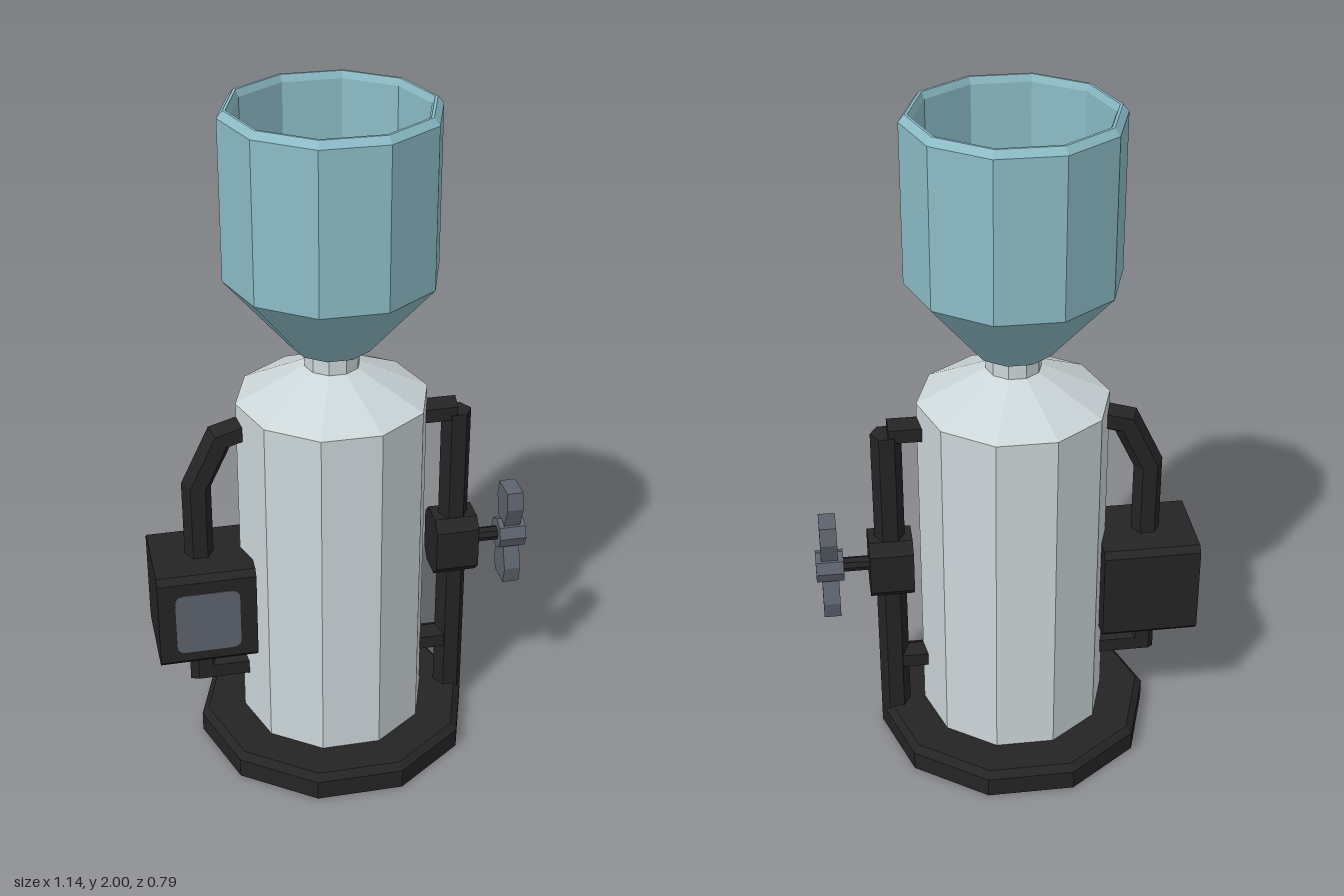
import * as THREE from 'three';

const flat = (color, name, side = THREE.FrontSide) => {
  const m = new THREE.MeshStandardMaterial({ color, flatShading: true, side });
  m.name = name;
  return m;
};

export function createModel() {
  const group = new THREE.Group();
  const black = flat(0x242424, 'black');
  const steel = flat(0xccd6d9, 'pale steel');
  const teal = flat(0x8cbcc6, 'teal');
  const slate = flat(0x5e646e, 'slate grey');
  const AXIS = -0.025;

  const add = (name, geometry, material, x = 0, y = 0, z = 0) => {
    const mesh = new THREE.Mesh(geometry, material);
    mesh.name = name;
    mesh.position.set(x, y, z);
    group.add(mesh);
    return mesh;
  };

  // Ten-sided turned parts, corners on the x axis
  const turned = (name, profile, material) => add(name, new THREE.LatheGeometry(
    profile.map(([r, y]) => new THREE.Vector2(r, y)), 10, Math.PI / 2), material, AXIS);

  turned('base', [[0, 0], [0.415, 0], [0.415, 0.06], [0.395, 0.08], [0, 0.08]], black);
  turned('body', [[0.28, 0.08], [0.28, 1.14], [0.08, 1.24]], steel);
  turned('neck', [[0.08, 1.235], [0.08, 1.3], [0.097, 1.305], [0.057, 1.33], [0, 1.33]], steel);
  turned('hopper', [[0.09, 1.3], [0.115, 1.3], [0.305, 1.52], [0.305, 1.98], [0.288, 2],
    [0.28, 2], [0.272, 1.98], [0.272, 1.53], [0.093, 1.315], [0.09, 1.3]], teal);

  // Hexagonal bar swept along a path in the xy plane, with mitred bends
  const hexBar = (name, path, r, turn = 0) => {
    const pts = path.map(([x, y]) => new THREE.Vector2(x, y));
    const pos = [], index = [];
    pts.forEach((p, i) => {
      const before = p.clone().sub(pts[Math.max(i - 1, 0)]).normalize();
      const after = pts[Math.min(i + 1, pts.length - 1)].clone().sub(p).normalize();
      const t = before.clone().add(after).normalize();
      const cos = t.dot(i ? before : after);
      for (let k = 0; k < 6; k++) {
        const a = k * Math.PI / 3 + turn, u = r * Math.cos(a) / cos;
        pos.push(p.x + t.y * u, p.y - t.x * u, r * Math.sin(a));
        if (i) {
          const n = (k + 1) % 6, lo = (i - 1) * 6, hi = i * 6;
          index.push(lo + k, hi + k, lo + n, lo + n, hi + k, hi + n);
        }
      }
    });
    const end = (pts.length - 1) * 6;
    for (let k = 1; k < 5; k++) {
      index.push(0, k, k + 1, end, end + k + 1, end + k);
    }
    const g = new THREE.BufferGeometry();
    g.setAttribute('position', new THREE.Float32BufferAttribute(pos, 3));
    g.setIndex(index);
    g.computeVertexNormals();
    return add(name, g, hexMaterial);
  };
  const hexMaterial = flat(0x242424, 'black bar', THREE.DoubleSide);
  hexMaterial.name = 'black';

  hexBar('handle', [[-0.27, 1.065], [-0.355, 1.04], [-0.427, 0.89], [-0.427, 0.245], [-0.27, 0.245]], 0.043);
  hexBar('rail', [[0.345, 0.06], [0.345, 1.05]], 0.045);
  for (const y of [0.25, 1.055]) {
    hexBar('railBracket', [[0.22, y], [0.34, y]], 0.042);
  }

  // Block running along x with chamfered long edges
  const block = (name, x0, x1, y, h, d, c, material) => {
    const a = d / 2, b = h / 2;
    const shape = new THREE.Shape([[-a + c, -b], [a - c, -b], [a, -b + c], [a, b - c],
      [a - c, b], [-a + c, b], [-a, b - c], [-a, -b + c]].map(p => new THREE.Vector2(...p)));
    const g = new THREE.ExtrudeGeometry(shape, { depth: x1 - x0, bevelEnabled: false });
    g.rotateY(Math.PI / 2);
    return add(name, g, material, x0, y, 0);
  };

  block('controlBox', -0.57, -0.28, 0.508, 0.305, 0.28, 0.018, black);
  block('clamp', 0.28, 0.41, 0.605, 0.19, 0.144, 0.032, black);

  // Screen: thin plate with rounded corners
  const w = 0.095, h = 0.1, r = 0.025;
  const screen = new THREE.Shape();
  screen.moveTo(-w + r, -h);
  screen.lineTo(w - r, -h).quadraticCurveTo(w, -h, w, -h + r);
  screen.lineTo(w, h - r).quadraticCurveTo(w, h, w - r, h);
  screen.lineTo(-w + r, h).quadraticCurveTo(-w, h, -w, h - r);
  screen.lineTo(-w, -h + r).quadraticCurveTo(-w, -h, -w + r, -h);
  add('screen', new THREE.ExtrudeGeometry(screen, { depth: 0.004, bevelEnabled: false, curveSegments: 3 }),
    slate, -0.425, 0.505, 0.139);

  // Wing screw on the clamp
  const rod = (name, radius, x0, x1, sides, material) => {
    const g = new THREE.CylinderGeometry(radius, radius, x1 - x0, sides);
    g.rotateZ(Math.PI / 2);
    return add(name, g, material, (x0 + x1) / 2, 0.605, 0);
  };
  rod('screwShaft', 0.022, 0.4, 0.5, 8, black);
  rod('screwHub', 0.048, 0.486, 0.568, 8, slate);
  const wing = new THREE.Shape([[-0.026, 0.03], [0.026, 0.03], [0.053, 0.105], [0.042, 0.158],
    [-0.042, 0.158], [-0.053, 0.105]].map(p => new THREE.Vector2(...p)));
  for (const turn of [0, Math.PI]) {
    const g = new THREE.ExtrudeGeometry(wing, { depth: 0.05, bevelEnabled: false });
    g.rotateY(Math.PI / 2).rotateX(turn);
    add('screwWing', g, slate, 0.502, 0.605, 0);
  }
  return group;
}
